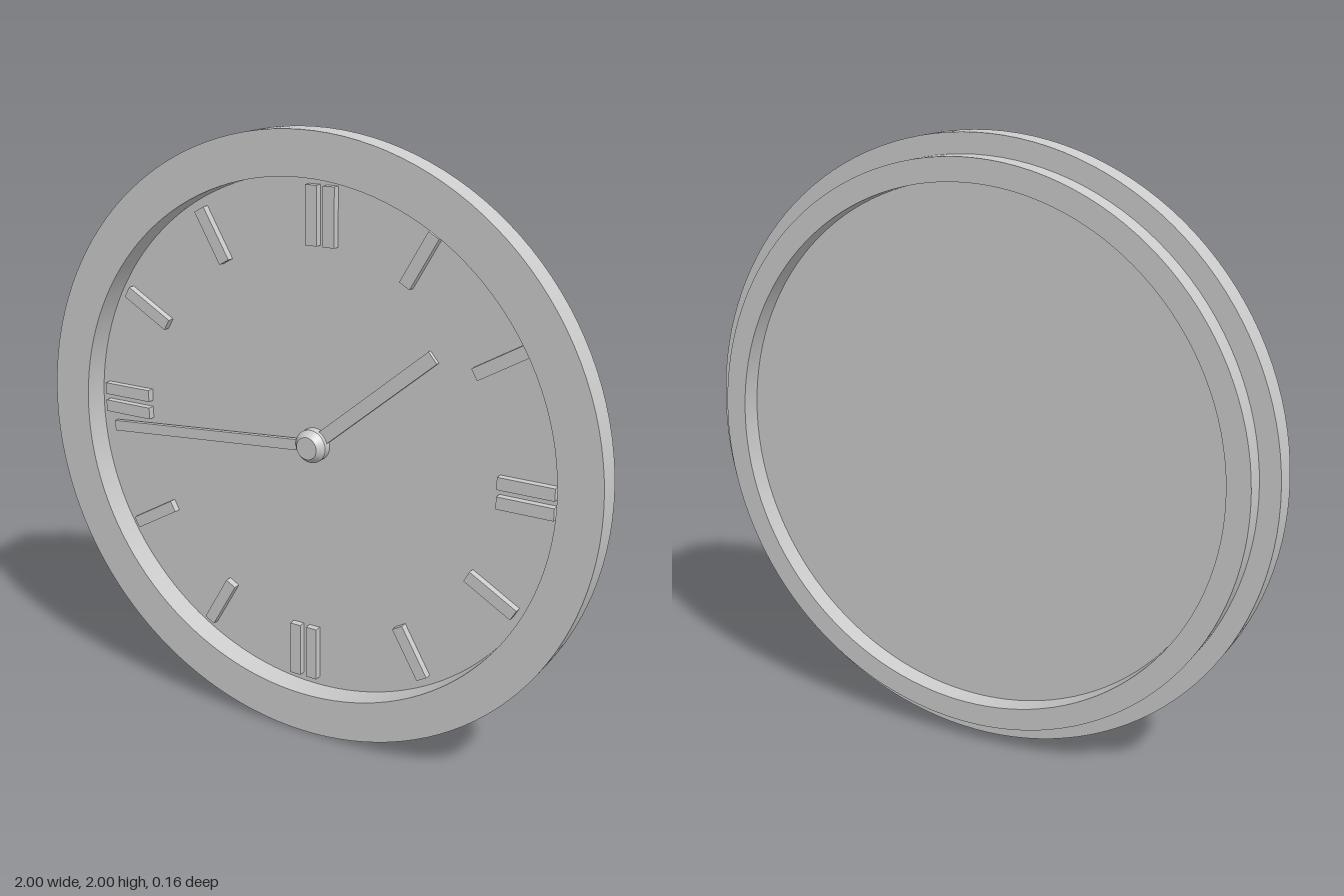
import * as THREE from 'three';
import { mergeGeometries } from 'three/addons/utils/BufferGeometryUtils.js';

const FACE_Z = -0.006;
const material = new THREE.MeshStandardMaterial({ color: 0xcccccc });

// Revolves a profile of [radius, z] points around the z axis, with a sharp edge at every point.
function turned(name, profile, segments) {
  const bands = [];
  for (let i = 0; i < profile.length - 1; i++) {
    const pair = [profile[i], profile[i + 1]].map(([r, z]) => new THREE.Vector2(r, z));
    bands.push(new THREE.LatheGeometry(pair, segments));
  }
  const mesh = new THREE.Mesh(mergeGeometries(bands).rotateX(Math.PI / 2), material);
  mesh.name = name;
  return mesh;
}

// Flat bar pointing outwards from the centre; angle is clockwise from twelve o'clock.
function bar(name, angle, inner, outer, width, back, front, shift = 0) {
  const geometry = new THREE.BoxGeometry(width, outer - inner, front - back);
  geometry.translate(shift, (inner + outer) / 2, (front + back) / 2);
  const mesh = new THREE.Mesh(geometry, material);
  mesh.rotation.z = -angle;
  mesh.name = name;
  return mesh;
}

export function createModel() {
  const model = new THREE.Group();
  model.name = 'wallClock';
  const clock = new THREE.Group();
  clock.name = 'clock';
  clock.position.y = 1;
  model.add(clock);

  // Stepped rim: wide front flange and a narrower ring behind it
  clock.add(turned('rim', [
    [0.935, -0.079], [0.935, FACE_Z], [1, FACE_Z], [1, 0.079],
    [0.86, 0.079], [0.86, -0.079], [0.935, -0.079],
  ], 128));

  // Thin dial, recessed on both sides
  clock.add(turned('dial', [[0, -0.012], [0.86, -0.012], [0.86, FACE_Z], [0, FACE_Z]], 128));

  // Hour markers, doubled at each quarter
  const markers = new THREE.Group();
  markers.name = 'hourMarkers';
  for (let hour = 0; hour < 12; hour++) {
    const angle = hour * Math.PI / 6;
    const shifts = hour % 3 === 0 ? [0, 0.062] : [0];
    for (const shift of shifts) {
      markers.add(bar('hourMarker', angle, 0.645, 0.83, 0.04, FACE_Z, 0.018, shift));
    }
  }
  clock.add(markers);

  // Hands
  const hourAngle = THREE.MathUtils.degToRad(50);
  const minuteAngle = THREE.MathUtils.degToRad(265.2);
  clock.add(bar('hourHand', hourAngle, 0, 0.545, 0.045, FACE_Z, 0.008));
  clock.add(bar('minuteHand', minuteAngle, 0, 0.797, 0.036, 0.004, 0.02));

  // Bevelled hub over the hands
  clock.add(turned('hub', [[0.055, FACE_Z], [0.055, 0.022], [0.037, 0.046], [0, 0.046]], 32));

  return model;
}
